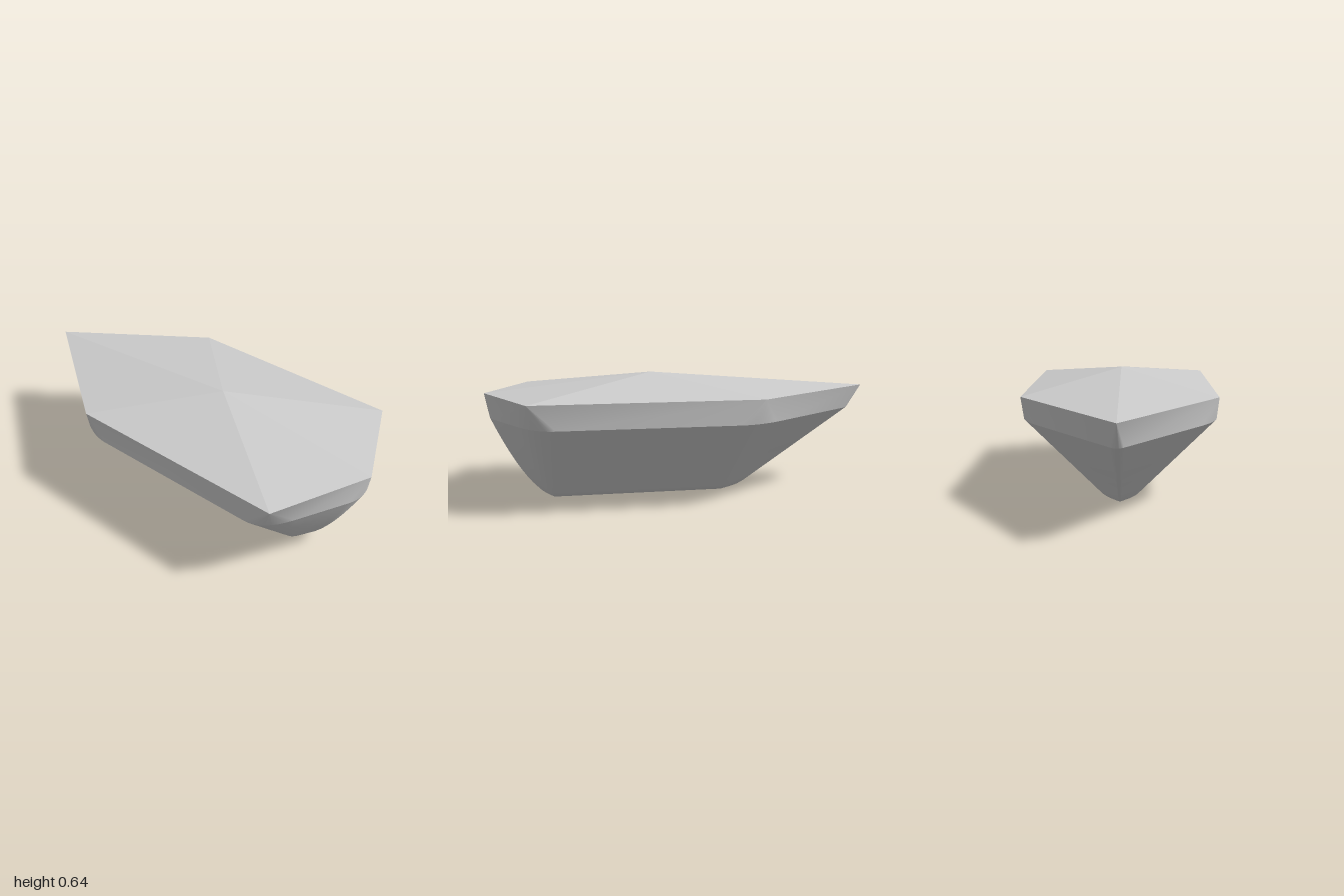
import * as THREE from 'three';
import { toCreasedNormals } from 'three/addons/utils/BufferGeometryUtils.js';

const HALF_WIDTH = 0.48, CHINE = 0.425, DECK = 0.545;
const KEEL_BOW = -0.2, KEEL_STERN = 0.66;
const BOW_LENGTH = 0.72, STERN_LENGTH = 0.315;
const KEEL_RADIUS = 0.14;

// Samples of a rounded corner between a and b, steered by the sharp corner c
function corner(a, c, b, from = 0, to = 1, n = 8) {
  const curve = new THREE.QuadraticBezierCurve(
    new THREE.Vector2(...a), new THREE.Vector2(...c), new THREE.Vector2(...b));
  return Array.from({ length: n + 1 }, (_, i) => curve.getPoint(from + (to - from) * i / n));
}

// Unit end plan: x runs from shoulder (0) to tip (1), y is the half width
function endPlan(cornerX, tipX, shoulderW, tipW) {
  const onLine = (w) => [cornerX + (tipX - cornerX) * (1 - w), w];
  const t = onLine(tipW);
  return {
    shoulder: corner([0, 1], [cornerX, 1], onLine(shoulderW)),
    tip: corner(t, [tipX, 0], [t[0], -tipW], 0, 0.5, 5),
  };
}
const bow = endPlan(0.139, 1.025, 0.806, 0.06);
const stern = endPlan(0.3, 1.08, 0.7, 0.2);

// Complete a half outline (stern tip to bow tip) on the other side
const mirror = (half) => [...half,
  ...half.slice(1, -1).reverse().map((p) => new THREE.Vector3(p.x, p.y, -p.z))];

// Rounded six-sided waterline at height y with half width w
function waterline(y, w) {
  const bowLen = BOW_LENGTH * w / HALF_WIDTH;
  const sternLen = STERN_LENGTH * Math.pow(y / CHINE, 0.6);
  const aft = [...stern.shoulder, ...stern.tip].reverse()
    .map((p) => new THREE.Vector3(KEEL_STERN + sternLen * p.x, y, w * p.y));
  const fore = [...bow.shoulder, ...bow.tip]
    .map((p) => new THREE.Vector3(KEEL_BOW - bowLen * p.x, y, w * p.y));
  return mirror([...aft, ...fore]);
}

// Sharp deck outline with as many points as a waterline, bunched at the corners
function deckLine() {
  const at = (n, x, z) => Array.from({ length: n }, () => new THREE.Vector3(x, DECK, z));
  return mirror([
    ...at(stern.tip.length, 1, 0), ...at(stern.shoulder.length, 0.79, HALF_WIDTH),
    ...at(bow.shoulder.length, -0.32, HALF_WIDTH), ...at(bow.tip.length, -1, 0),
  ]);
}

// Skin a stack of closed rings, leaving out collapsed triangles
function skin(rings, crease) {
  const pos = [];
  const tri = (a, b, c) => {
    const area = b.clone().sub(a).cross(c.clone().sub(a)).length();
    if (area > 1e-8) for (const p of [a, b, c]) pos.push(p.x, p.y, p.z);
  };
  for (let r = 0; r < rings.length - 1; r++) {
    const lo = rings[r], hi = rings[r + 1];
    for (let i = 0; i < lo.length; i++) {
      const j = (i + 1) % lo.length;
      tri(lo[i], hi[i], lo[j]);
      tri(lo[j], hi[i], hi[j]);
    }
  }
  const g = new THREE.BufferGeometry();
  g.setAttribute('position', new THREE.Float32BufferAttribute(pos, 3));
  g.computeVertexNormals();
  return crease ? toCreasedNormals(g, crease) : g;
}

export function createModel() {
  const group = new THREE.Group();
  group.name = 'boatHull';
  const material = new THREE.MeshStandardMaterial({ color: 0xcccccc });
  const add = (name, geometry) => {
    const mesh = new THREE.Mesh(geometry, material);
    mesh.name = name;
    group.add(mesh);
  };

  // Lower hull: round keel, then straight flanks out to the chine
  const rings = [];
  for (let i = 0; i <= 7; i++) {
    const a = (Math.PI / 4) * i / 7;
    rings.push(waterline(KEEL_RADIUS * (1 - Math.cos(a)), KEEL_RADIUS * Math.sin(a)));
  }
  const y0 = KEEL_RADIUS * (1 - Math.SQRT1_2), w0 = KEEL_RADIUS * Math.SQRT1_2;
  for (let i = 1; i <= 10; i++) {
    const t = i / 10;
    rings.push(waterline(y0 + (CHINE - y0) * t, w0 + (HALF_WIDTH - w0) * t));
  }
  add('lowerHull', skin(rings, Math.PI / 6));

  // Topside band from the rounded chine to the sharp deck edge
  const deck = deckLine();
  add('topsides', skin([rings[rings.length - 1], deck], Math.PI / 6));

  // Faceted deck rising to a low peak
  const peak = deck.map(() => new THREE.Vector3(0.16, 0.638, 0));
  add('deck', skin([deck, peak], 0));

  return group;
}
